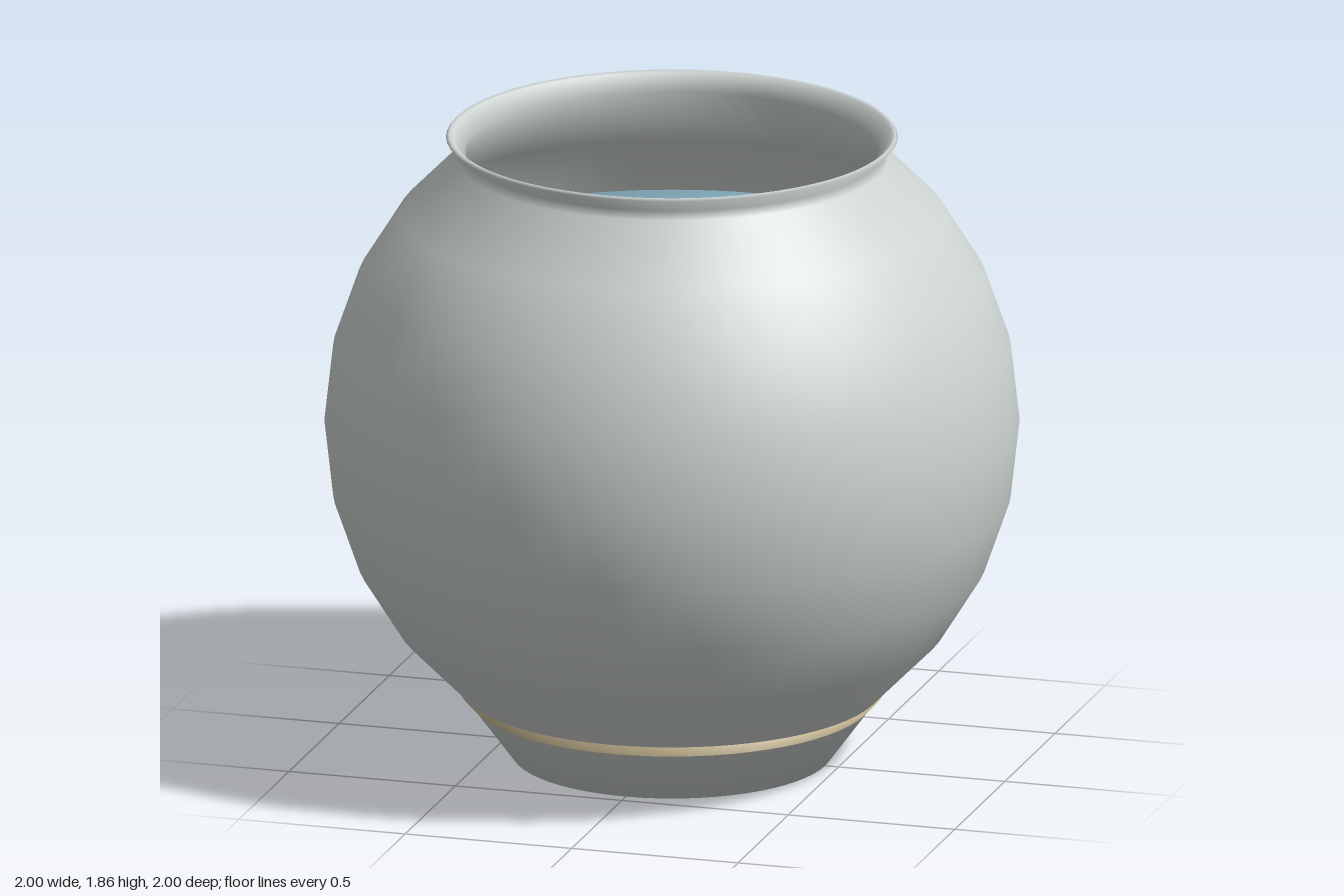
import * as THREE from 'three';

const SEGMENTS = 64;

// Spin a profile round the y axis; each ring's normal is the even mean of its two neighbouring slopes.
function revolve(name, profile, material) {
  const points = profile.map(([r, y]) => new THREE.Vector2(r, y));
  const geometry = new THREE.LatheGeometry(points, SEGMENTS);
  const slopes = points.slice(1).map((p, i) =>
    new THREE.Vector2(p.y - points[i].y, points[i].x - p.x).normalize());
  const n = points.length;
  const normals = geometry.attributes.normal;
  for (let i = 0; i <= SEGMENTS; i++) {
    const a = (i / SEGMENTS) * Math.PI * 2;
    for (let j = 0; j < n; j++) {
      const s = slopes[Math.max(j - 1, 0)].clone().add(slopes[Math.min(j, n - 2)]).normalize();
      normals.setXYZ(i * n + j, s.x * Math.sin(a), s.y, s.x * Math.cos(a));
    }
  }
  const mesh = new THREE.Mesh(geometry, material);
  mesh.name = name;
  return mesh;
}

// Rings of a sphere centred on y = 1, from ring index a to b.
function sphereRings(radius, a, b) {
  const rings = [];
  const step = Math.sign(b - a);
  for (let k = a; k !== b + step; k += step) {
    const t = THREE.MathUtils.degToRad(k * 12.8);
    rings.push([radius * Math.cos(t), 1 + radius * Math.sin(t)]);
  }
  return rings;
}

export function createModel() {
  const glass = new THREE.MeshStandardMaterial({ color: 0xcdd4d2 });
  glass.name = 'pale grey glass';
  const sandColour = new THREE.MeshStandardMaterial({ color: 0xc4b48f });
  sandColour.name = 'sand tan';
  const waterColour = new THREE.MeshStandardMaterial({ color: 0x8ebacb });
  waterColour.name = 'water blue';

  const group = new THREE.Group();
  group.name = 'fishBowl';

  // Bowl: flat foot, round body, flared lip, then down the inside of the wall
  const bowl = revolve('bowl', [
    [0, 0], [0.46, 0], [0.607, 0.2],
    ...sphereRings(1, -3, 3),
    [0.622, 1.785], [0.61, 1.81],
    [0.65, 1.85], [0.643, 1.858], [0.632, 1.853],
    [0.595, 1.805],
    ...sphereRings(0.98, 3, 1),
  ], glass);

  // Sand bed, its rim showing as a thin band above the foot
  const sand = revolve('sandBed', [[0, 0.03], [0.455, 0.03], [0.612, 0.197], [0, 0.197]], sandColour);

  // Water filling the body to just above the widest point
  const water = revolve('water', [
    [0, 0.21], [0.58, 0.21],
    ...sphereRings(0.972, -3, 1),
    [0.875, 1.427], [0, 1.427],
  ], waterColour);

  group.add(bowl, sand, water);
  return group;
}
